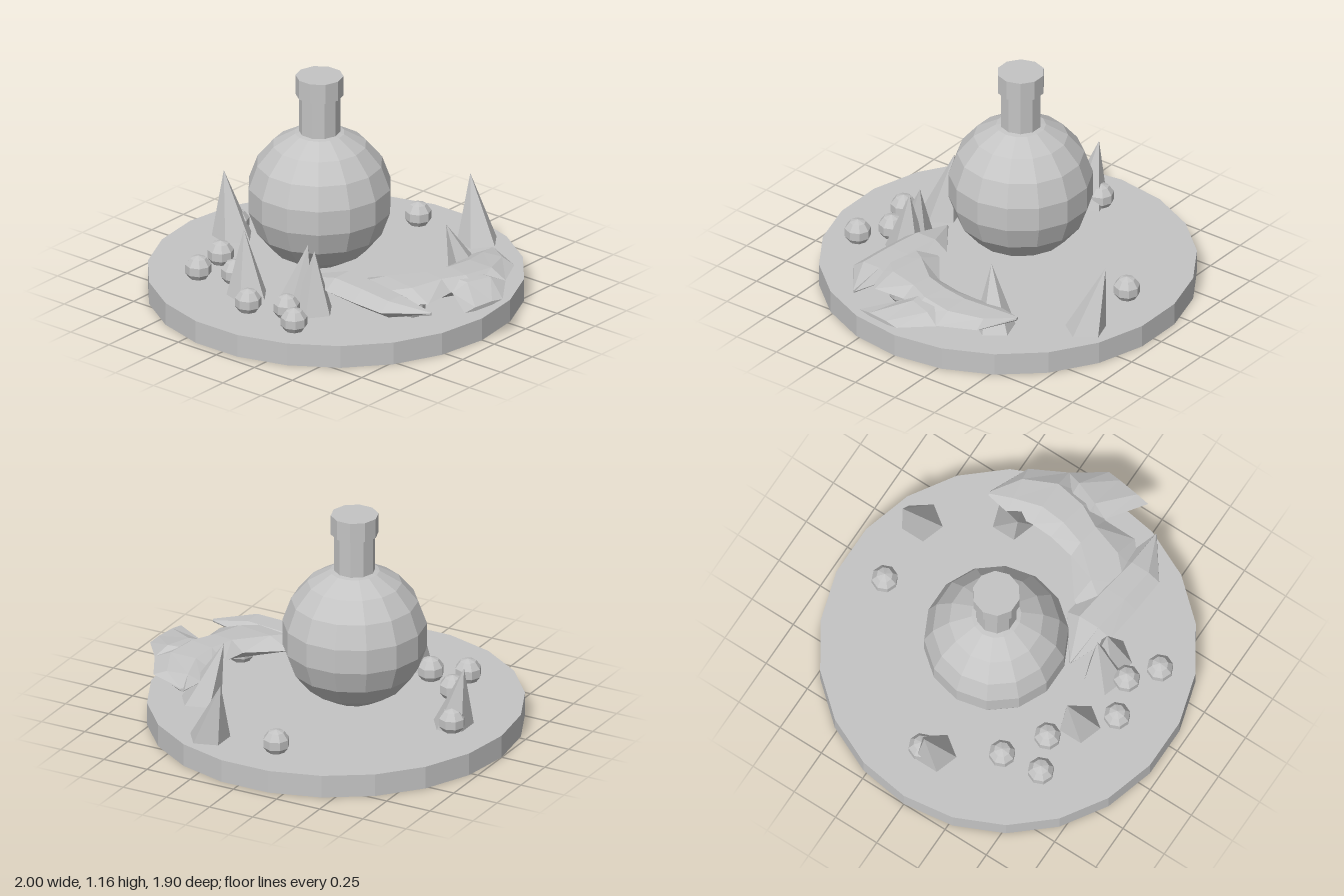
import * as THREE from 'three';

const stone = new THREE.MeshStandardMaterial({ color: 0xc4c4c4, flatShading: true });
stone.name = 'stone grey';

function add(group, name, geometry, x = 0, y = 0, z = 0) {
  const mesh = new THREE.Mesh(geometry, stone);
  mesh.name = name;
  mesh.position.set(x, y, z);
  group.add(mesh);
  return mesh;
}

// Cylinder with a corner on the x axis
function drum(radius, height, sides) {
  return new THREE.CylinderGeometry(radius, radius, height, sides).rotateY(Math.PI / 2);
}

// Five-sided spike whose tip leans away from its base centre
function leaningCone(radius, height, dx, dz) {
  const g = new THREE.ConeGeometry(radius, height, 5).rotateY(Math.PI / 2).translate(0, height / 2, 0);
  const p = g.attributes.position;
  for (let i = 0; i < p.count; i++) {
    const t = p.getY(i) / height;
    p.setX(i, p.getX(i) + dx * t);
    p.setZ(i, p.getZ(i) + dz * t);
  }
  g.computeVertexNormals();
  return g;
}

// Flat faceted body lofted through stations [ax, az, bx, bz, y, halfThickness]
function loft(stations) {
  const ring = [[0, 0], [0.28, 1], [0.72, 1], [1, 0], [0.72, -1], [0.28, -1]];
  const n = ring.length, pos = [], idx = [];
  for (const [ax, az, bx, bz, y, h] of stations)
    for (const [t, v] of ring) pos.push(ax + (bx - ax) * t, y + h * v, az + (bz - az) * t);
  for (let i = 0; i < stations.length - 1; i++)
    for (let j = 0; j < n; j++) {
      const a = i * n + j, b = i * n + (j + 1) % n;
      idx.push(a, b, a + n, b, b + n, a + n);
    }
  const last = (stations.length - 1) * n;
  for (let j = 1; j < n - 1; j++) idx.push(0, j + 1, j, last, last + j, last + j + 1);
  const g = new THREE.BufferGeometry();
  g.setAttribute('position', new THREE.Float32BufferAttribute(pos, 3));
  g.setIndex(idx);
  const flat = g.toNonIndexed();
  flat.computeVertexNormals();
  return flat;
}

export function createModel() {
  const model = new THREE.Group();
  model.name = 'flask diorama';

  // Round base
  add(model, 'base', drum(0.96, 0.12, 22), -0.04, 0.06, 0);

  // Flask: round body, neck and stopper
  const flask = new THREE.Group();
  flask.name = 'flask';
  flask.position.x = -0.148;
  add(flask, 'flaskBody', new THREE.SphereGeometry(0.373, 14, 9), 0, 0.503, 0);
  add(flask, 'flaskNeck', drum(0.105, 0.24, 10), 0, 0.95, 0);
  add(flask, 'flaskStopper', drum(0.122, 0.105, 10), 0, 1.112, 0);
  model.add(flask);

  // Spikes: base centre x, z, then tip x, y, z
  const spikes = [
    [-0.71, 0.005, -0.79, 0.455, -0.015],
    [-0.18, 0.53, -0.24, 0.455, 0.49],
    [0.10, 0.49, 0.13, 0.45, 0.43],
    [0.20, 0.47, 0.19, 0.44, 0.45],
    [0.55, -0.36, 0.46, 0.42, -0.27],
    [0.29, -0.735, 0.19, 0.45, -0.79],
  ];
  for (const [x, z, tx, ty, tz] of spikes)
    add(model, 'spike', leaningCone(0.112, ty - 0.11, tx - x, tz - z), x, 0.11, z);

  // Small round pebbles
  const pebbles = [
    [-0.09, -0.715], [-0.745, -0.06], [-0.55, 0.3], [-0.52, 0.515], [-0.345, 0.44],
    [-0.06, 0.675], [0.135, 0.605], [0.275, 0.715], [0.61, 0.18],
  ];
  for (const [x, z] of pebbles)
    add(model, 'pebble', new THREE.SphereGeometry(0.071, 8, 5), x, 0.169, z);

  // Flat curved body wrapping round the side of the base
  const creature = new THREE.Group();
  creature.name = 'curvedBody';
  add(creature, 'bodyBack', loft([
    [0.58, -0.515, 0.555, -0.51, 0.232, 0.008],
    [0.785, -0.42, 0.53, -0.38, 0.235, 0.03],
    [0.88, -0.235, 0.545, -0.24, 0.24, 0.045],
    [0.84, -0.05, 0.54, -0.12, 0.24, 0.052],
    [0.765, 0.06, 0.51, 0.02, 0.24, 0.052],
    [0.765, 0.24, 0.32, 0.165, 0.235, 0.05],
    [0.62, 0.36, 0.26, 0.28, 0.23, 0.04],
  ]));
  add(creature, 'bodyFront', loft([
    [0.03, 0.325, 0.035, 0.335, 0.22, 0.008],
    [0.25, 0.17, 0.25, 0.43, 0.23, 0.048],
    [0.45, 0.2, 0.45, 0.455, 0.23, 0.05],
    [0.64, 0.24, 0.64, 0.47, 0.23, 0.045],
    [0.845, 0.31, 0.845, 0.32, 0.23, 0.008],
  ]));
  add(creature, 'sideFin', loft([
    [0.62, -0.22, 0.62, 0.06, 0.24, 0.045],
    [0.88, -0.235, 0.77, 0.055, 0.238, 0.04],
    [0.998, -0.07, 0.963, 0.19, 0.226, 0.01],
  ]));
  model.add(creature);

  return model;
}
